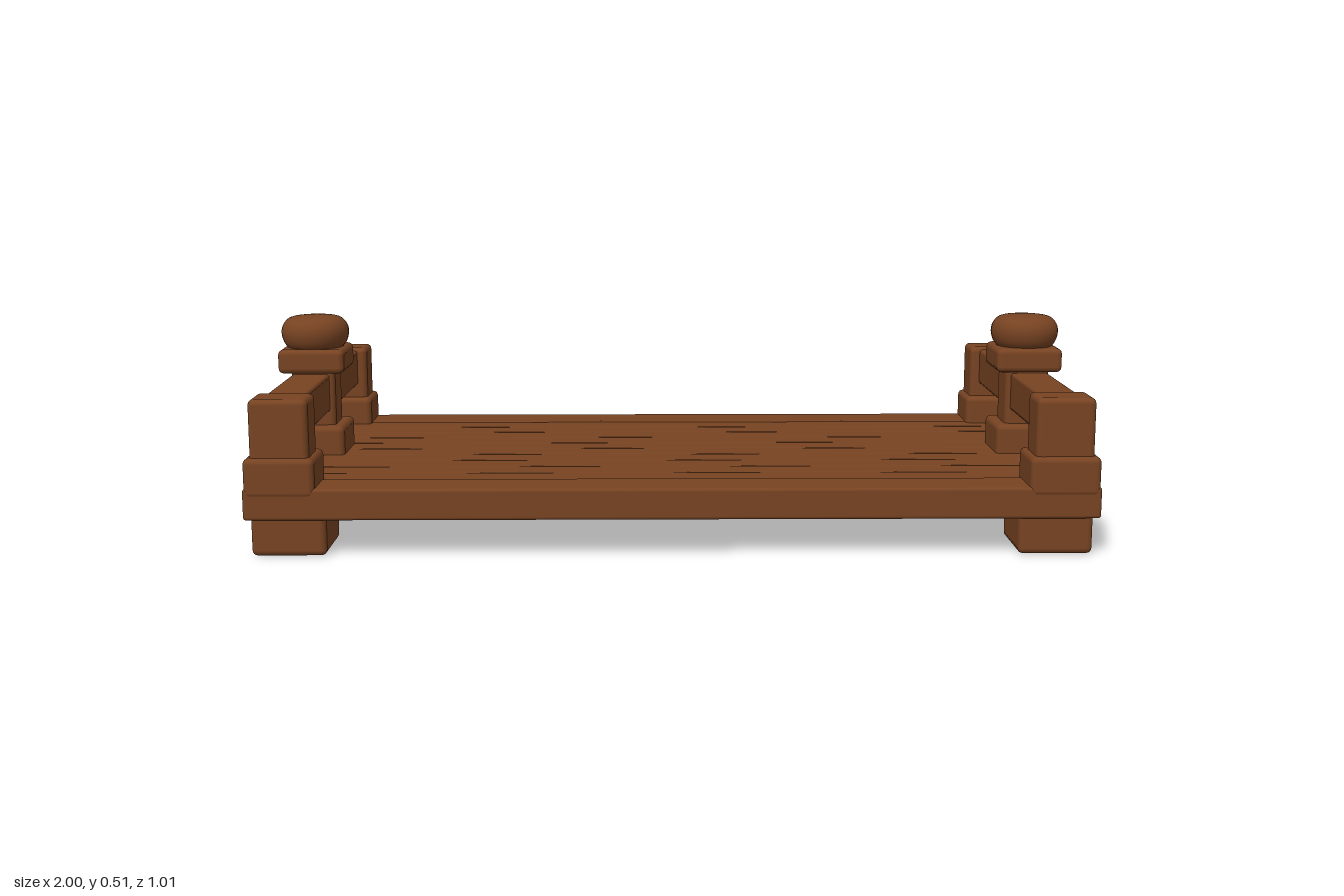
import * as THREE from 'three';
import { RoundedBoxGeometry } from 'three/addons/geometries/RoundedBoxGeometry.js';

const wood = new THREE.MeshStandardMaterial({ color: 0x774322 });
wood.name = 'brownWood';

// Softly rounded block given by its extents on each axis
function block(parent, name, [x0, x1], [y0, y1], [z0, z1], radius = 0.014) {
  const mesh = new THREE.Mesh(new RoundedBoxGeometry(x1 - x0, y1 - y0, z1 - z0, 2, radius), wood);
  mesh.position.set((x0 + x1) / 2, (y0 + y1) / 2, (z0 + z1) / 2);
  mesh.name = name;
  parent.add(mesh);
}

// Flattened round finial, bulging at the middle
function knob(parent, x) {
  const outline = new THREE.SplineCurve([
    [0.068, 0], [0.079, 0.014], [0.085, 0.038], [0.08, 0.06], [0.064, 0.076], [0.035, 0.081], [0, 0.082],
  ].map(([r, y]) => new THREE.Vector2(r, y))).getPoints(18);
  outline[outline.length - 1].x = 0;
  const mesh = new THREE.Mesh(new THREE.LatheGeometry([new THREE.Vector2(0, 0), ...outline], 32), wood);
  mesh.position.set(x, 0.428, 0);
  mesh.name = 'knob';
  parent.add(mesh);
}

// Mirrored range for the other side
const side = (s, a, b) => (s > 0 ? [a, b] : [-b, -a]);

export function createModel() {
  const model = new THREE.Group();
  model.name = 'bedFrame';

  // Platform: wide outer boards with narrow slats between
  const platform = new THREE.Group();
  platform.name = 'platform';
  model.add(platform);
  for (const s of [1, -1]) block(platform, 'sideBoard', [-1, 1], [0.088, 0.163], side(s, 0.384, 0.505), 0.008);
  const count = 10, width = 0.77 / count;
  for (let i = 0; i < count; i++) {
    const z = -0.385 + i * width;
    block(platform, 'slat', [-0.998, 0.998], [0.088, 0.161], [z, z + width], 0.004);
  }

  // Matching railings at both ends
  for (const sx of [1, -1]) {
    const end = new THREE.Group();
    end.name = sx > 0 ? 'leftEnd' : 'rightEnd';
    model.add(end);

    for (const sz of [1, -1]) {
      block(end, 'foot', side(sx, 0.81, 0.985), [0, 0.1], side(sz, 0.305, 0.493));
      block(end, 'cornerBase', side(sx, 0.832, 0.997), [0.14, 0.234], side(sz, 0.358, 0.507));
      block(end, 'cornerPost', side(sx, 0.845, 0.983), [0.2, 0.371], side(sz, 0.383, 0.493));
    }
    block(end, 'rail', side(sx, 0.87, 0.966), [0.268, 0.364], [-0.44, 0.44], 0.008);

    // Central post with cap and knob
    block(end, 'centreBase', side(sx, 0.832, 0.992), [0.14, 0.234], [-0.085, 0.085]);
    block(end, 'centrePost', side(sx, 0.857, 0.967), [0.2, 0.39], [-0.055, 0.055]);
    block(end, 'centreCap', side(sx, 0.828, 0.994), [0.369, 0.43], [-0.085, 0.085]);
    knob(end, sx * 0.911);
  }
  return model;
}
